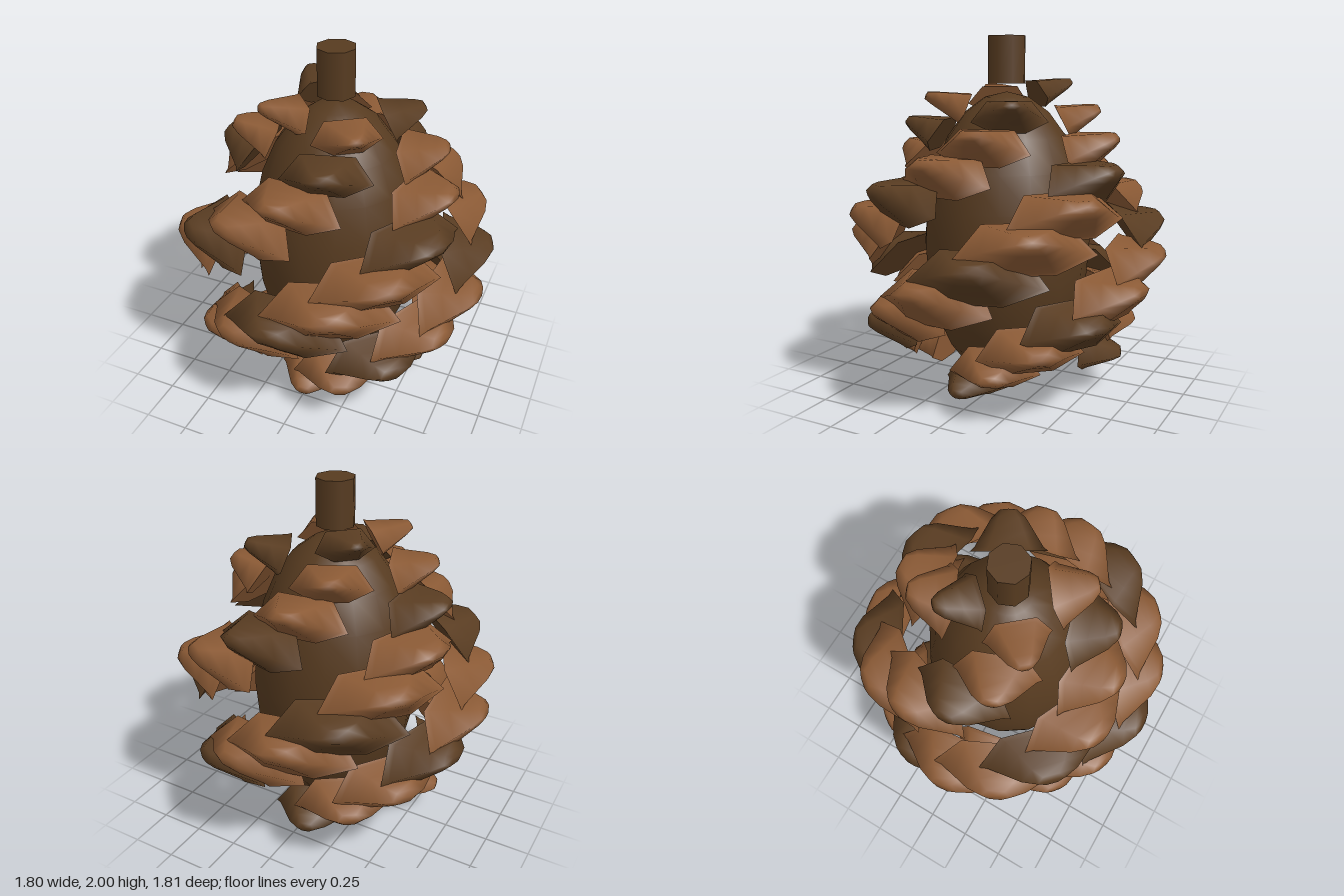
import * as THREE from 'three';

const mat = (name, color) => {
  const m = new THREE.MeshStandardMaterial({ color });
  m.name = name;
  return m;
};

const TIP_DROP = 0.15; // how far the tip sags below the base centre, in scale heights

// Unit scale: wide six-sided base at z = 0, tapering to a blunt tip at z = 1
function scaleGeometry() {
  const outline = [[0.29, 0.5], [-0.29, 0.5], [-0.5, -0.15], [-0.2, -0.5], [0.2, -0.5], [0.5, -0.15]];
  const sections = [[0, 1, 1], [0.1, 0.88, 0.9], [0.45, 0.66, 0.66], [0.8, 0.44, 0.42], [1, 0.22, 0.24]];
  const n = outline.length;
  const pos = [], idx = [];
  for (const [z, w, h] of sections) for (const [u, v] of outline) pos.push(u * w, v * h - TIP_DROP * z, z);
  for (let s = 0; s < sections.length - 1; s++) {
    for (let k = 0; k < n; k++) {
      const a = s * n + k, b = s * n + (k + 1) % n;
      idx.push(a, b, b + n, a, b + n, a + n);
    }
  }
  // tip cap shares its ring so the end stays soft
  const tip = pos.length / 3;
  pos.push(0, -TIP_DROP, 1.02);
  const last = (sections.length - 1) * n;
  for (let k = 0; k < n; k++) idx.push(last + k, last + (k + 1) % n, tip);
  // base cap has its own ring so the rim stays sharp
  const base = pos.length / 3;
  for (const [u, v] of outline) pos.push(u, v, 0);
  for (let k = 1; k < n - 1; k++) idx.push(base, base + k + 1, base + k);
  const g = new THREE.BufferGeometry();
  g.setAttribute('position', new THREE.Float32BufferAttribute(pos, 3));
  g.setIndex(idx);
  g.computeVertexNormals();
  return g;
}

// Linear interpolation through [index, value] pairs
function sample(table, x) {
  let k = 0;
  while (k < table.length - 2 && table[k + 1][0] < x) k++;
  const [x0, y0] = table[k], [x1, y1] = table[k + 1];
  return y0 + (y1 - y0) * (x - x0) / (x1 - x0);
}

export function createModel() {
  const model = new THREE.Group();
  model.name = 'pinecone';
  const lightBrown = mat('light scale brown', 0x8b5a35);
  const darkBrown = mat('dark scale brown', 0x5a3d22);
  const coreBrown = mat('core brown', 0x573b20);

  // Egg-shaped core
  const core = new THREE.Mesh(new THREE.SphereGeometry(1, 16, 12), coreBrown);
  core.name = 'core';
  core.scale.set(0.475, 0.845, 0.475);
  core.position.y = 0.85;
  model.add(core);

  // Stem
  const stem = new THREE.Mesh(new THREE.CylinderGeometry(0.108, 0.108, 0.26, 8), coreBrown);
  stem.name = 'stem';
  stem.position.y = 1.87;
  model.add(stem);

  // Scales in a rising spiral, every third one dark
  const COUNT = 46;
  const STEP = 2 * Math.PI * (275.016 / 360);
  const LENGTH = 0.215;
  const tipRadius = [[0, 0.57], [4, 0.7], [10, 0.82], [18, 0.89], [24, 0.89], [30, 0.82], [36, 0.66], [40, 0.55], [45, 0.38]];
  const tiltUp = [[0, 0], [6, 0.2], [18, 0.55], [36, 0.55], [45, 0.42]];
  const geometry = scaleGeometry();
  const scales = new THREE.Group();
  scales.name = 'scales';
  for (let i = 0; i < COUNT; i++) {
    const swell = Math.sin(Math.PI * (i + 3) / 49);
    const width = 0.3 + 0.44 * swell;
    const height = 0.15 + 0.13 * swell;
    const tilt = sample(tiltUp, i);
    const angle = Math.PI / 2 + i * STEP;
    const drop = TIP_DROP * height;
    const r = sample(tipRadius, i) - LENGTH * Math.cos(tilt) - drop * Math.sin(tilt);
    const y = 0.115 + 0.0363 * i - LENGTH * Math.sin(tilt) + drop * Math.cos(tilt);
    const scale = new THREE.Mesh(geometry, i % 3 === 0 ? darkBrown : lightBrown);
    scale.name = 'scale';
    scale.rotation.set(-tilt, angle, 0, 'YXZ');
    scale.scale.set(width, height, LENGTH);
    scale.position.set(Math.sin(angle) * r, y, Math.cos(angle) * r);
    scales.add(scale);
  }
  model.add(scales);
  return model;
}
